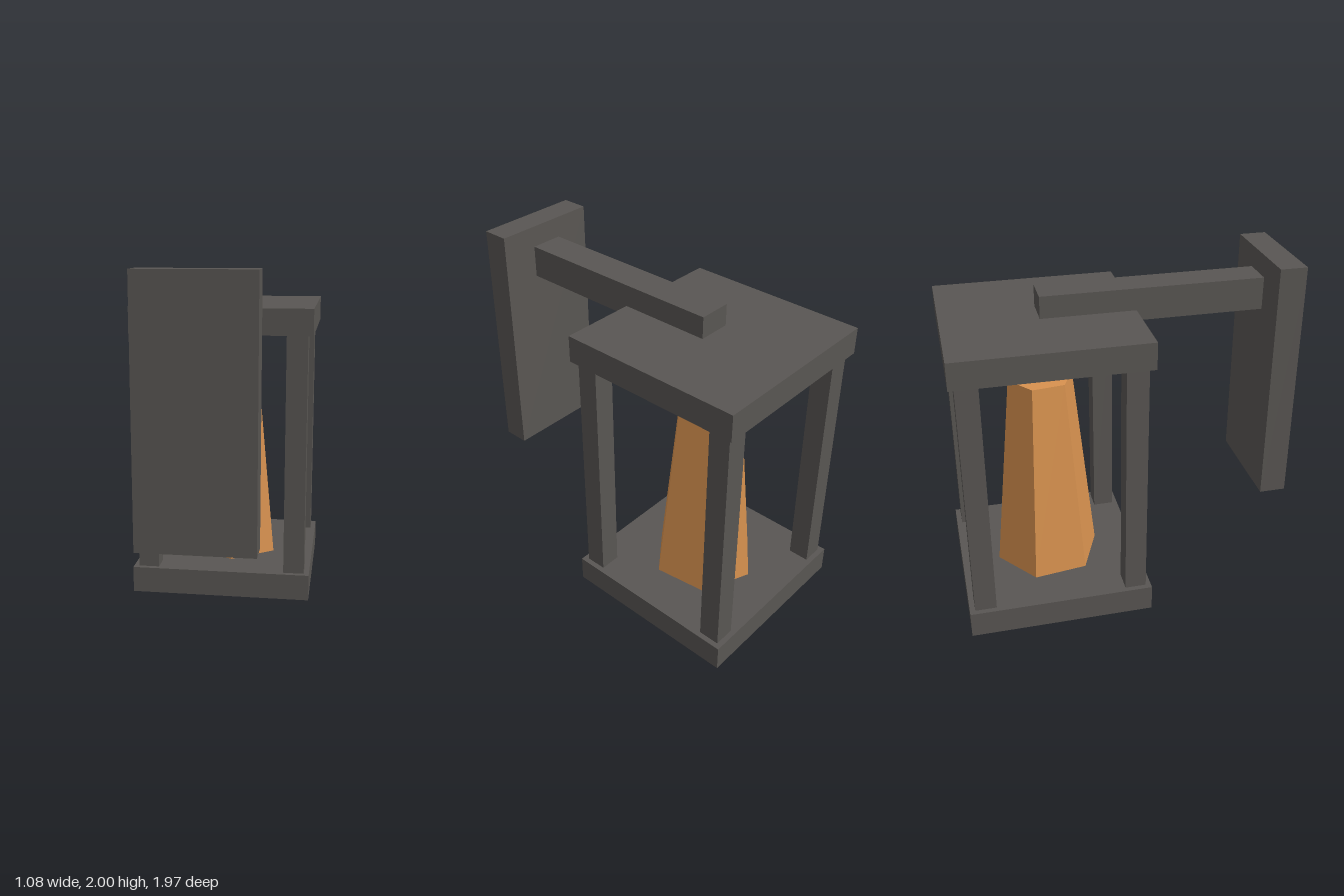
import * as THREE from 'three';

const metal = new THREE.MeshStandardMaterial({ color: 0x595653, flatShading: true });
const amber = new THREE.MeshStandardMaterial({ color: 0xd8924f, flatShading: true });

// Box given by its extents along each axis
function box(name, [x0, x1], [y0, y1], [z0, z1]) {
  const mesh = new THREE.Mesh(new THREE.BoxGeometry(x1 - x0, y1 - y0, z1 - z0), metal);
  mesh.position.set((x0 + x1) / 2, (y0 + y1) / 2, (z0 + z1) / 2);
  mesh.name = name;
  return mesh;
}

export function createModel() {
  const group = new THREE.Group();
  group.name = 'wallLantern';
  const cz = -0.443; // centre of the lantern cage
  const half = 0.538;
  const baseTop = 0.157, roofBottom = 1.595;

  // Wall plate and the arm that rests in the roof
  group.add(box('wallPlate', [-0.315, 0.315], [0.58, 2], [0.83, 0.985]));
  group.add(box('arm', [-0.097, 0.097], [1.69, 1.877], [-0.443, 0.83]));

  // Square base and roof
  group.add(box('base', [-half, half], [0, baseTop], [cz - half, cz + half]));
  group.add(box('roof', [-half, half], [roofBottom, 1.75], [cz - half, cz + half]));

  // Four corner posts
  const inset = 0.445, r = 0.062;
  for (const sx of [-1, 1]) {
    for (const sz of [-1, 1]) {
      const x = sx * inset, z = cz + sz * inset;
      group.add(box('cornerPost', [x - r, x + r], [baseTop, roofBottom], [z - r, z + r]));
    }
  }

  // Tapered six-sided lamp shade, turned slightly
  const height = 1.365 - baseTop;
  const shade = new THREE.Mesh(new THREE.CylinderGeometry(0.19, 0.315, height, 6), amber);
  shade.rotation.y = 0.134;
  shade.position.set(0, baseTop + height / 2, cz);
  shade.name = 'lampShade';
  group.add(shade);

  return group;
}
